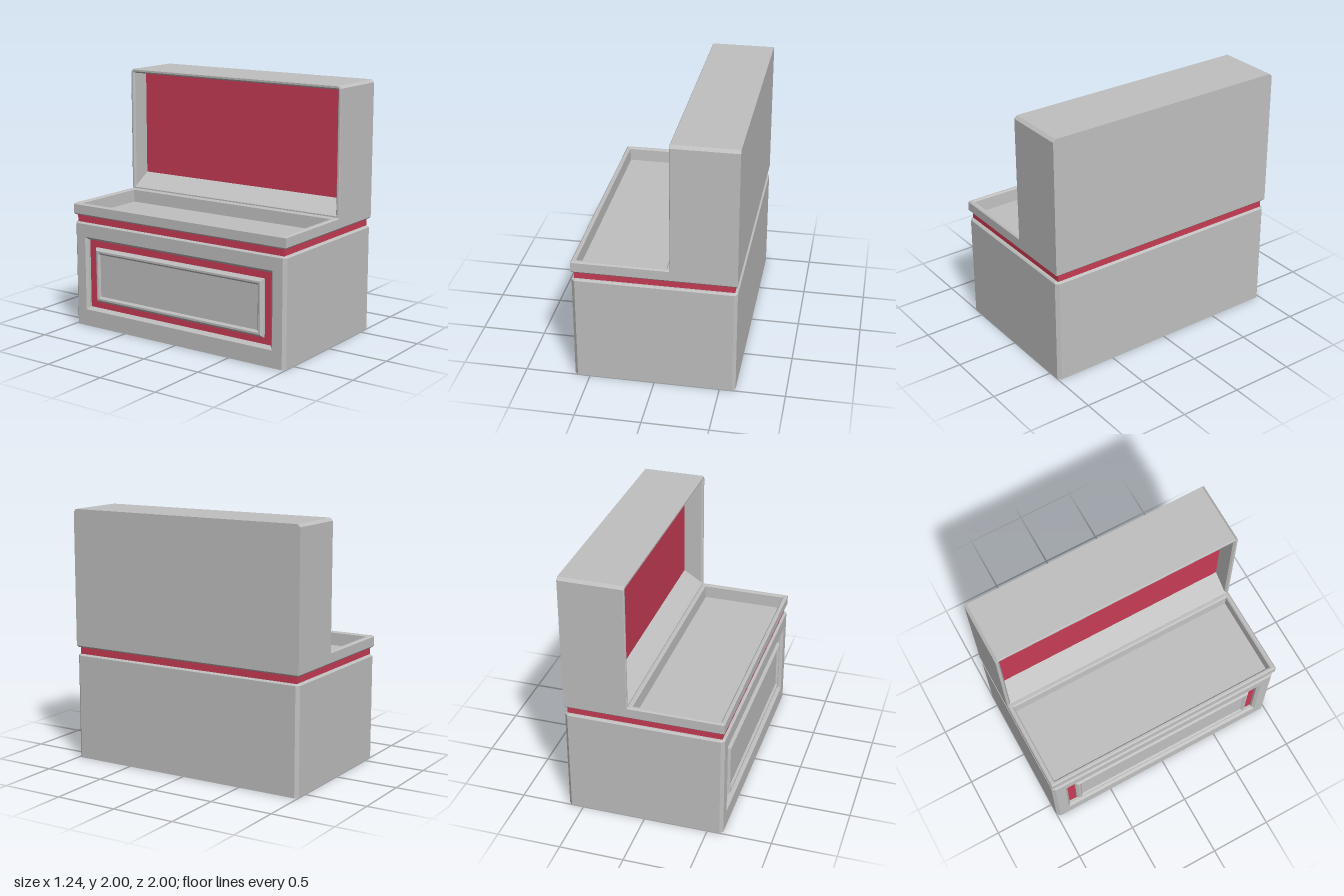
import * as THREE from 'three';

const grey = new THREE.MeshStandardMaterial({ color: 0xc0c0c0 });
grey.name = 'light grey';
const red = new THREE.MeshStandardMaterial({ color: 0xc83c54 });
red.name = 'crimson';

// Axis maps (u, v, t) -> xyz, both right-handed
const alongUp = (u, v, t) => [v, t, u];    // u = z, v = x, t = y
const alongFace = (u, v, t) => [t, v, u];  // u = z, v = y, t = x running towards -x

// Rectangle with half width hu, span v0..v1 and corner cut c, counter-clockwise
function ringPoints([t, hu, v0, v1, c = 0], map) {
  return [
    [hu, v0 + c], [hu, v1 - c], [hu - c, v1], [c - hu, v1],
    [-hu, v1 - c], [-hu, v0 + c], [c - hu, v0], [hu - c, v0],
  ].map(([u, v]) => new THREE.Vector3(...map(u, v, t)));
}

// Joins successive rectangular rings with flat faces, with optional end caps
function loft(name, material, map, rings, { start = false, end = false } = {}) {
  const pos = [];
  const tri = (a, b, c) => {
    const area = b.clone().sub(a).cross(c.clone().sub(a)).length();
    if (area > 1e-9) for (const p of [a, b, c]) pos.push(p.x, p.y, p.z);
  };
  const loops = rings.map((r) => ringPoints(r, map));
  for (let k = 0; k + 1 < loops.length; k++) {
    const a = loops[k], b = loops[k + 1];
    for (let i = 0; i < 8; i++) {
      const j = (i + 1) % 8;
      tri(a[i], a[j], b[j]);
      tri(a[i], b[j], b[i]);
    }
  }
  const first = loops[0], last = loops[loops.length - 1];
  for (let i = 1; i < 7; i++) {
    if (start) tri(first[0], first[i + 1], first[i]);
    if (end) tri(last[0], last[i], last[i + 1]);
  }
  const geo = new THREE.BufferGeometry();
  geo.setAttribute('position', new THREE.Float32BufferAttribute(pos, 3));
  geo.computeVertexNormals();
  const mesh = new THREE.Mesh(geo, material);
  mesh.name = name;
  return mesh;
}

export function createModel() {
  const group = new THREE.Group();
  group.name = 'displayCounter';

  // Lower cabinet with chamfered uprights and a framed opening on its -x face
  group.add(loft('cabinetBody', grey, alongFace, [
    [0.62, 0.975, 0, 0.838],
    [0.595, 1, 0, 0.838],
    [-0.595, 1, 0, 0.838],
    [-0.62, 0.975, 0, 0.838],
    [-0.62, 0.89, 0.135, 0.735],
    [-0.60, 0.87, 0.155, 0.715],
    [-0.58, 0.87, 0.155, 0.715],
  ], { start: true }));
  group.add(loft('cabinetTop', grey, alongUp, [
    [0.838, 1, -0.62, 0.62, 0.025],
    [0.85, 0.988, -0.608, 0.608, 0.025],
  ], { end: true }));

  // Coloured groove floor and the raised door panel in front of it
  group.add(loft('doorGroove', red, alongFace, [[-0.58, 0.87, 0.155, 0.715]], { end: true }));
  group.add(loft('doorPanel', grey, alongFace, [
    [-0.58, 0.80, 0.21, 0.655],
    [-0.595, 0.80, 0.21, 0.655],
    [-0.615, 0.78, 0.23, 0.635],
    [-0.615, 0.765, 0.245, 0.62],
    [-0.60, 0.75, 0.26, 0.605],
  ], { end: true }));

  // Recessed coloured band between cabinet and counter
  group.add(loft('accentBand', red, alongUp, [
    [0.84, 0.975, -0.6, 0.6],
    [0.912, 0.975, -0.6, 0.6],
  ]));

  // Counter slab with a sunken tray
  group.add(loft('counterTray', grey, alongUp, [
    [0.905, 0.96, -0.59, 0.59],
    [0.905, 0.988, -0.608, 0.608],
    [0.917, 1, -0.62, 0.62],
    [0.99, 1, -0.62, 0.62],
    [1.0, 0.99, -0.61, 0.125],
    [1.0, 0.97, -0.595, 0.1],
    [0.99, 0.96, -0.585, 0.09],
    [0.89, 0.955, -0.58, 0.085],
  ], { end: true }));

  // Tall hood, hollow towards the tray, with a sloping inner floor
  group.add(loft('hood', grey, alongFace, [
    [0.62, 1, 0.93, 2, 0.022],
    [0.125, 1, 0.93, 2, 0.022],
    [0.12, 0.995, 0.935, 1.995, 0.022],
    [0.12, 0.98, 1.01, 1.98],
    [0.135, 0.968, 1.022, 1.968],
    [0.28, 0.968, 1.115, 1.968],
  ], { start: true }));
  group.add(loft('hoodBackPanel', red, alongFace, [[0.28, 0.968, 1.115, 1.968]], { end: true }));

  return group;
}
